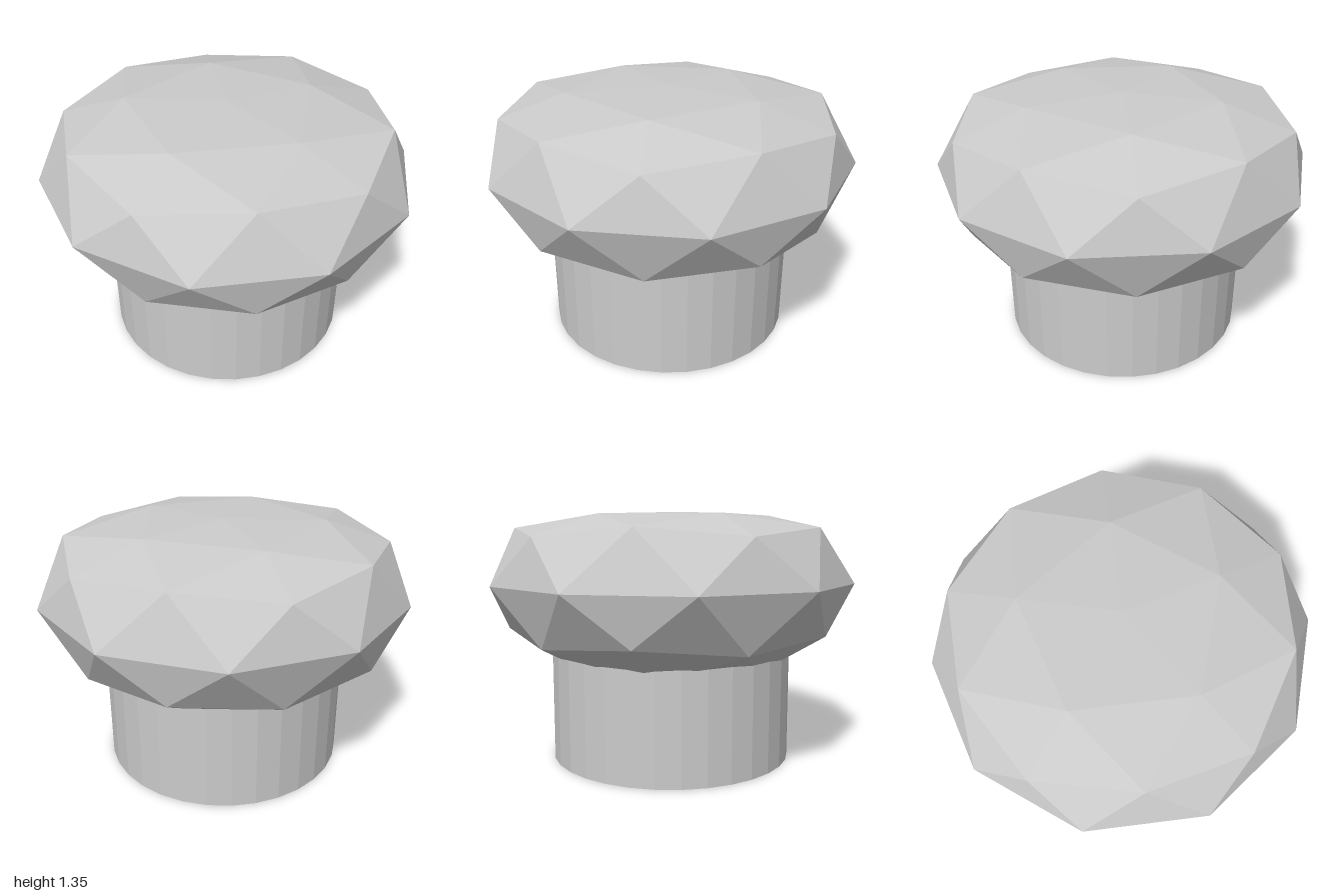
import * as THREE from 'three';

const EQUATOR_Y = 0.97;
const STEP = Math.PI / 5;

// point on a ring at n tenths of a turn
const at = (r, y, n, dx = 0) => [r * Math.cos(n * STEP) + dx, y, r * Math.sin(n * STEP)];

// Half of a faceted dome: pole, inner ring of 5, outer ring of 10, equator of 10
function halfDome(poleY, innerY, shift) {
  const tris = [];
  const pole = [0, poleY, 0];
  const inner = k => at(0.526, innerY, 2 * k, shift);
  const outer = j => (j % 2 === 0 ? at(0.894, 0.25, j) : at(0.851, 0.295, j));
  const rim = j => at(1, 0, j + 0.5);
  for (let k = 0; k < 5; k++) {
    const j = 2 * k;
    tris.push([pole, inner(k + 1), inner(k)]);
    tris.push([inner(k), inner(k + 1), outer(j + 1)]);
    tris.push([inner(k), outer(j + 1), outer(j)]);
    tris.push([inner(k), outer(j), outer(j - 1)]);
  }
  for (let j = 0; j < 10; j++) {
    tris.push([outer(j), outer(j + 1), rim(j)]);
    tris.push([outer(j), rim(j), rim(j - 1)]);
  }
  return tris;
}

export function createModel() {
  const group = new THREE.Group();
  const material = new THREE.MeshStandardMaterial({ color: 0xcccccc, flatShading: true });

  // Faceted cap: flattened upper half, lower half inverted through the centre
  const upper = halfDome(0.383, 0.365, -0.026);
  const lower = halfDome(0.56, 0.477, 0).map(([a, b, c]) =>
    [a, c, b].map(p => p.map(v => -v)));
  const geometry = new THREE.BufferGeometry();
  geometry.setAttribute('position',
    new THREE.Float32BufferAttribute([...upper, ...lower].flat(2), 3));
  geometry.computeVertexNormals();
  const cap = new THREE.Mesh(geometry, material);
  cap.name = 'facetedCap';
  cap.position.y = EQUATOR_Y;
  group.add(cap);

  // Round stem, its top buried in the cap
  const height = 0.75;
  const stem = new THREE.Mesh(new THREE.CylinderGeometry(0.664, 0.664, height, 32), material);
  stem.name = 'stem';
  stem.position.y = height / 2;
  group.add(stem);

  return group;
}
